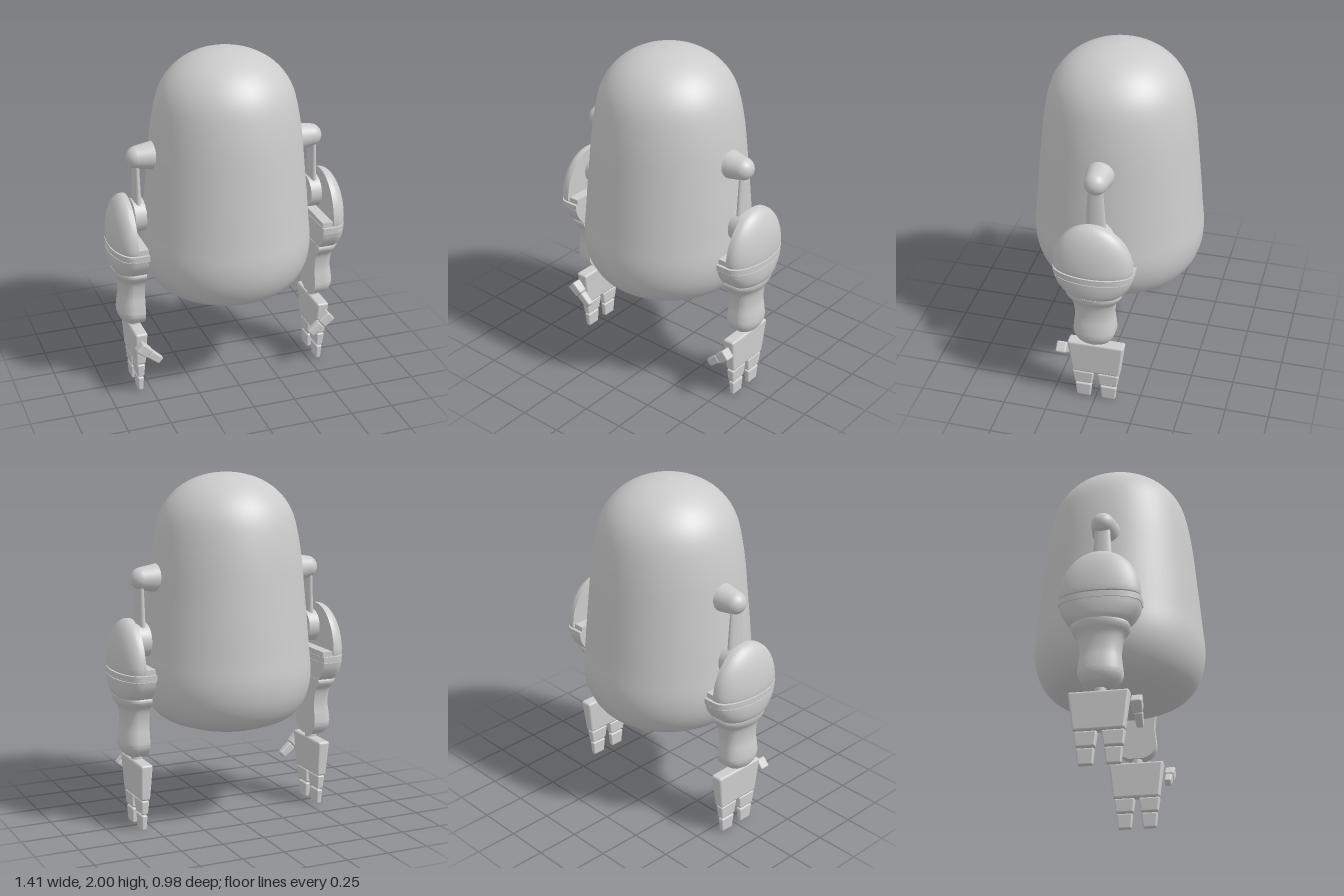
import * as THREE from 'three';
import { toCreasedNormals } from 'three/addons/utils/BufferGeometryUtils.js';
import { RoundedBoxGeometry } from 'three/addons/geometries/RoundedBoxGeometry.js';

const material = new THREE.MeshStandardMaterial({ color: 0xcccccc, roughness: 0.7 });

function add(parent, name, geometry, x = 0, y = 0, z = 0) {
  const mesh = new THREE.Mesh(geometry, material);
  mesh.name = name;
  mesh.position.set(x, y, z);
  parent.add(mesh);
  return mesh;
}

// Smooth curve through a few [a, b, c] points
const smooth = (points, n) => new THREE.CatmullRomCurve3(
  points.map(([a, b, c = 0]) => new THREE.Vector3(a, b, c))).getPoints(n);

// Armour shell: flat on the inner side, half-elliptic outside.
// Rows are (outer x, y, half depth in z), listed from top to bottom.
function shell(rows, inner, middle) {
  const arc = 24, ring = arc + 4, pos = [], index = [];
  const row = (v, size) => {
    const bulge = Math.max(v.x - middle, 0.001);
    const section = [];
    for (let i = 0; i <= arc; i++) {
      const t = Math.PI * i / arc;
      section.push([middle + bulge * Math.sin(t), v.z * Math.cos(t)]);
    }
    section.push([inner, -v.z], [inner, v.z], [middle, v.z]);
    for (const [x, z] of section) pos.push(middle + (x - middle) * size, v.y, z * size);
  };
  row(rows[0], 0);
  rows.forEach((v) => row(v, 1));
  row(rows[rows.length - 1], 0);
  for (let i = 0; i < rows.length + 1; i++) {
    for (let j = 0; j < ring - 1; j++) {
      const a = i * ring + j, b = a + 1, c = a + ring, d = c + 1;
      if (i > 0) index.push(a, c, b);
      else index.push(a, c, d);
      if (i > 0 && i < rows.length) index.push(b, c, d);
    }
  }
  const g = new THREE.BufferGeometry();
  g.setAttribute('position', new THREE.Float32BufferAttribute(pos, 3));
  g.setIndex(index);
  return toCreasedNormals(g, 0.7);
}

// Rounded block narrowing towards its lower end
function block(w, h, d, taperX, taperZ, radius = 0.01) {
  const g = new RoundedBoxGeometry(w, h, d, 3, radius);
  const p = g.attributes.position;
  for (let i = 0; i < p.count; i++) {
    const t = 0.5 - p.getY(i) / h;
    p.setX(i, p.getX(i) * (1 + (taperX - 1) * t));
    p.setZ(i, p.getZ(i) * (1 + (taperZ - 1) * t));
  }
  return g;
}

// Cylinder along x; r0 is the end nearest the body
const rod = (r0, r1, length) => new THREE.CylinderGeometry(r0, r1, length, 40).rotateZ(Math.PI / 2);

function buildHand() {
  const hand = new THREE.Group();
  hand.name = 'hand';
  add(hand, 'wrist', new THREE.CylinderGeometry(0.032, 0.032, 0.06, 24), 0.56, 0.41);
  add(hand, 'palm', block(0.074, 0.215, 0.33, 0.74, 0.83, 0.014), 0.562, 0.293, -0.005);
  for (const z of [0.072, -0.076]) {
    add(hand, 'fingerBase', block(0.048, 0.085, 0.126, 0.8, 0.8), 0.562, 0.142, z);
    add(hand, 'fingerTip', block(0.037, 0.091, 0.098, 0.75, 0.8), 0.562, 0.048, z);
  }
  // Thumb points down and in towards the body
  const thumb = new THREE.Group();
  thumb.name = 'thumb';
  thumb.position.set(0.562, 0.322, 0.195);
  thumb.rotation.z = -0.85;
  add(thumb, 'thumbBase', block(0.066, 0.08, 0.062, 0.9, 0.85));
  add(thumb, 'thumbTip', block(0.052, 0.09, 0.046, 0.85, 0.8), 0, -0.085);
  hand.add(thumb);
  return hand;
}

function buildArm(name) {
  const arm = new THREE.Group();
  arm.name = name;
  // Shoulder and slim upper arm
  add(arm, 'shoulderSocket', rod(0.086, 0.064, 0.13), 0.46, 1.428);
  add(arm, 'shoulderBall', new THREE.SphereGeometry(0.065, 32, 24), 0.515, 1.428);
  add(arm, 'upperArm', new THREE.CylinderGeometry(0.042, 0.058, 0.26, 32).scale(0.42, 1, 1), 0.528, 1.27);
  // Elbow
  add(arm, 'elbowDisc', rod(0.095, 0.095, 0.066), 0.527, 1.083);
  add(arm, 'elbowPin', rod(0.027, 0.027, 0.13), 0.54, 1.083);
  // Forearm armour
  const dome = [];
  for (let i = 0; i <= 20; i++) {
    const t = Math.PI / 2 * i / 20, s = Math.max(Math.sin(t), 0.01);
    dome.push(new THREE.Vector3(0.6 + 0.105 * s, 0.945 + 0.265 * Math.cos(t), 0.225 * s));
  }
  dome.push(new THREE.Vector3(0.703, 0.932, 0.222));
  add(arm, 'elbowGuard', shell(dome, 0.583, 0.6));
  add(arm, 'cuffSeam', shell(smooth([[0.69, 0.955, 0.21], [0.69, 0.915, 0.21]], 1), 0.522, 0.6));
  add(arm, 'cuffBand', shell(smooth([[0.704, 0.925, 0.227], [0.704, 0.891, 0.225]], 2), 0.52, 0.6));
  add(arm, 'cuff', shell(smooth([[0.705, 0.888, 0.222], [0.704, 0.85, 0.21],
    [0.696, 0.80, 0.178], [0.685, 0.778, 0.155]], 12), 0.524, 0.6));
  add(arm, 'forearm', shell(smooth([[0.688, 0.78, 0.155], [0.686, 0.765, 0.16], [0.68, 0.745, 0.152],
    [0.658, 0.705, 0.122], [0.649, 0.62, 0.108], [0.66, 0.54, 0.116], [0.662, 0.49, 0.117],
    [0.643, 0.445, 0.09], [0.61, 0.42, 0.045]], 40), 0.522, 0.585));
  arm.add(buildHand());
  return arm;
}

export function createModel() {
  const model = new THREE.Group();
  model.name = 'robot';

  // Egg-shaped body
  const profile = smooth([[0, 0.505], [0.1, 0.522], [0.25, 0.558], [0.395, 0.622], [0.46, 0.715],
    [0.487, 0.84], [0.475, 1.02], [0.45, 1.3], [0.417, 1.6], [0.37, 1.785], [0.295, 1.89],
    [0.2, 1.955], [0.1, 1.988], [0, 2]], 60);
  const points = profile.map((v) => new THREE.Vector2(Math.max(v.x, 0), v.y));
  add(model, 'body', new THREE.LatheGeometry(points, 72));

  // Arms, mirrored across the body
  const rightArm = buildArm('rightArm');
  rightArm.scale.x = -1;
  model.add(buildArm('leftArm'), rightArm);
  return model;
}
